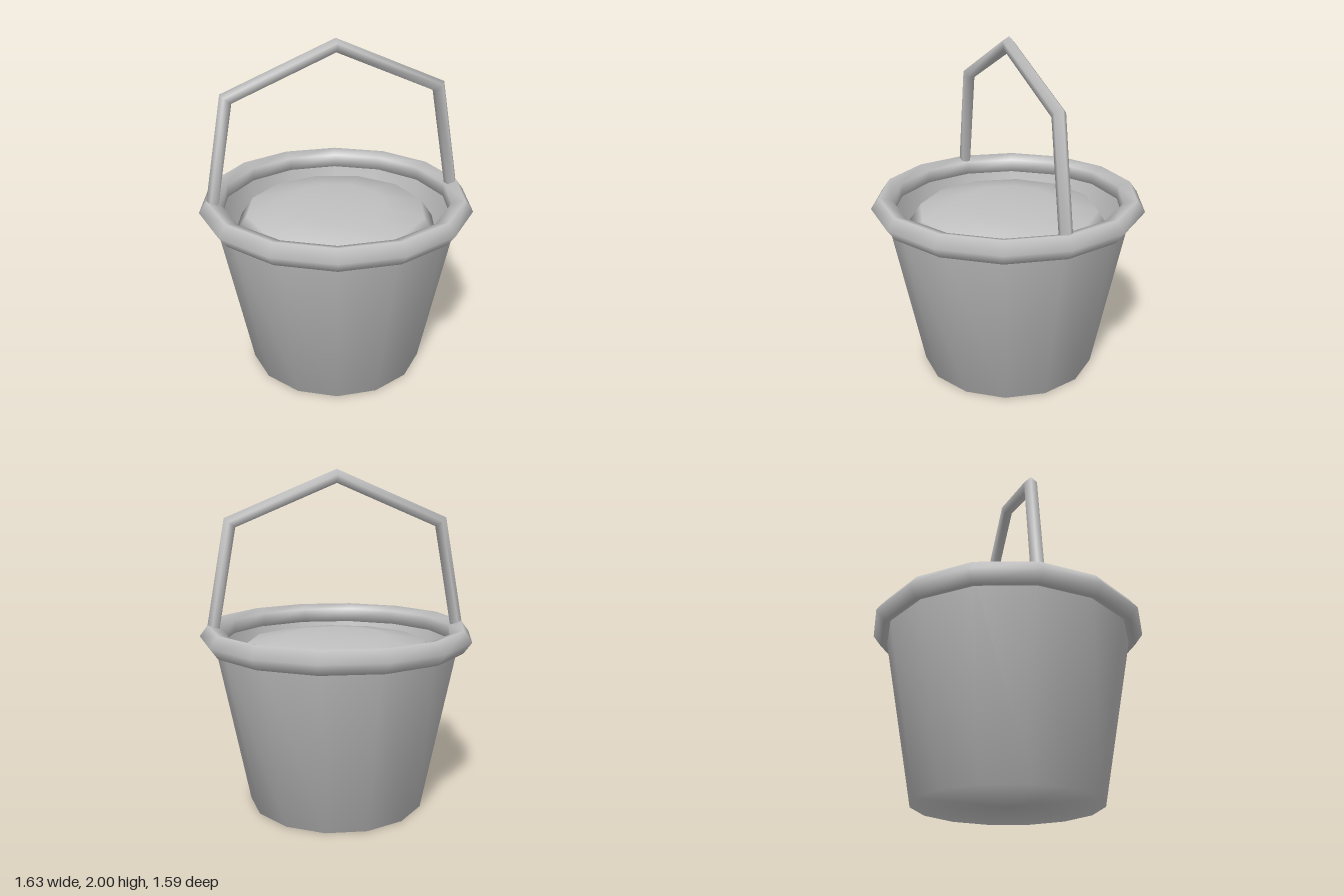
import * as THREE from 'three';
import { mergeVertices } from 'three/addons/utils/BufferGeometryUtils.js';

const grey = new THREE.MeshStandardMaterial({ color: 0xc0c0c0, side: THREE.DoubleSide });
grey.name = 'plain grey';

// Turned shape with normals shared across every edge
function turned(profile, sides) {
  const points = profile.map(([r, y]) => new THREE.Vector2(r, y));
  const lathe = new THREE.LatheGeometry(points, sides, Math.PI / 2);
  lathe.deleteAttribute('normal');
  lathe.deleteAttribute('uv');
  const geometry = mergeVertices(lathe);
  geometry.computeVertexNormals();
  return geometry;
}

// Mitred bar with a slightly rolled five-sided section, bent in the xy plane
function bentBar(path, radius, roll, sides = 5) {
  const positions = [];
  const index = [];
  path.forEach((p, i) => {
    const before = p.clone().sub(path[Math.max(i - 1, 0)]).normalize();
    const after = path[Math.min(i + 1, path.length - 1)].clone().sub(p).normalize();
    const tangent = before.clone().add(after).normalize();
    const miter = radius / tangent.dot(i ? before : after);
    for (let k = 0; k < sides; k++) {
      const a = (k / sides) * Math.PI * 2 + roll;
      const out = Math.cos(a) * miter;
      positions.push(p.x - tangent.y * out, p.y + tangent.x * out, Math.sin(a) * radius);
      if (i === path.length - 1) continue;
      const here = i * sides + k;
      const next = i * sides + ((k + 1) % sides);
      index.push(here, next, here + sides, next, next + sides, here + sides);
    }
  });
  // End caps
  const last = (path.length - 1) * sides;
  for (let k = 1; k < sides - 1; k++) {
    index.push(0, k + 1, k, last, last + k, last + k + 1);
  }
  const geometry = new THREE.BufferGeometry();
  geometry.setAttribute('position', new THREE.Float32BufferAttribute(positions, 3));
  geometry.setIndex(index);
  geometry.computeVertexNormals();
  return geometry;
}

export function createModel() {
  const model = new THREE.Group();
  model.name = 'bucket';
  const add = (name, geometry) => {
    const mesh = new THREE.Mesh(geometry, grey);
    mesh.name = name;
    model.add(mesh);
  };

  // Tapered pail, open at the top
  add('pail', turned([[0, 0], [0.535, 0], [0.739, 1.035]], 14));

  // Rolled rim
  const rim = new THREE.TorusGeometry(0.744, 0.07, 5, 14);
  rim.rotateX(Math.PI / 2);
  rim.translate(0, 1.034, 0);
  add('rim', rim);

  // Gently domed contents with sloping shoulders
  add('contents', turned([[0, 0.87], [0.62, 0.87], [0.54, 0.985], [0.3, 1.02], [0, 1.03]], 12));

  // Angular carrying handle
  const half = [[0.736, 1.05], [0.618, 1.695]];
  const path = [
    ...half.map(([x, y]) => new THREE.Vector2(-x, y)),
    new THREE.Vector2(0, 1.958),
    ...half.reverse().map(([x, y]) => new THREE.Vector2(x, y)),
  ];
  add('handle', bentBar(path, 0.039, -0.16));

  return model;
}
